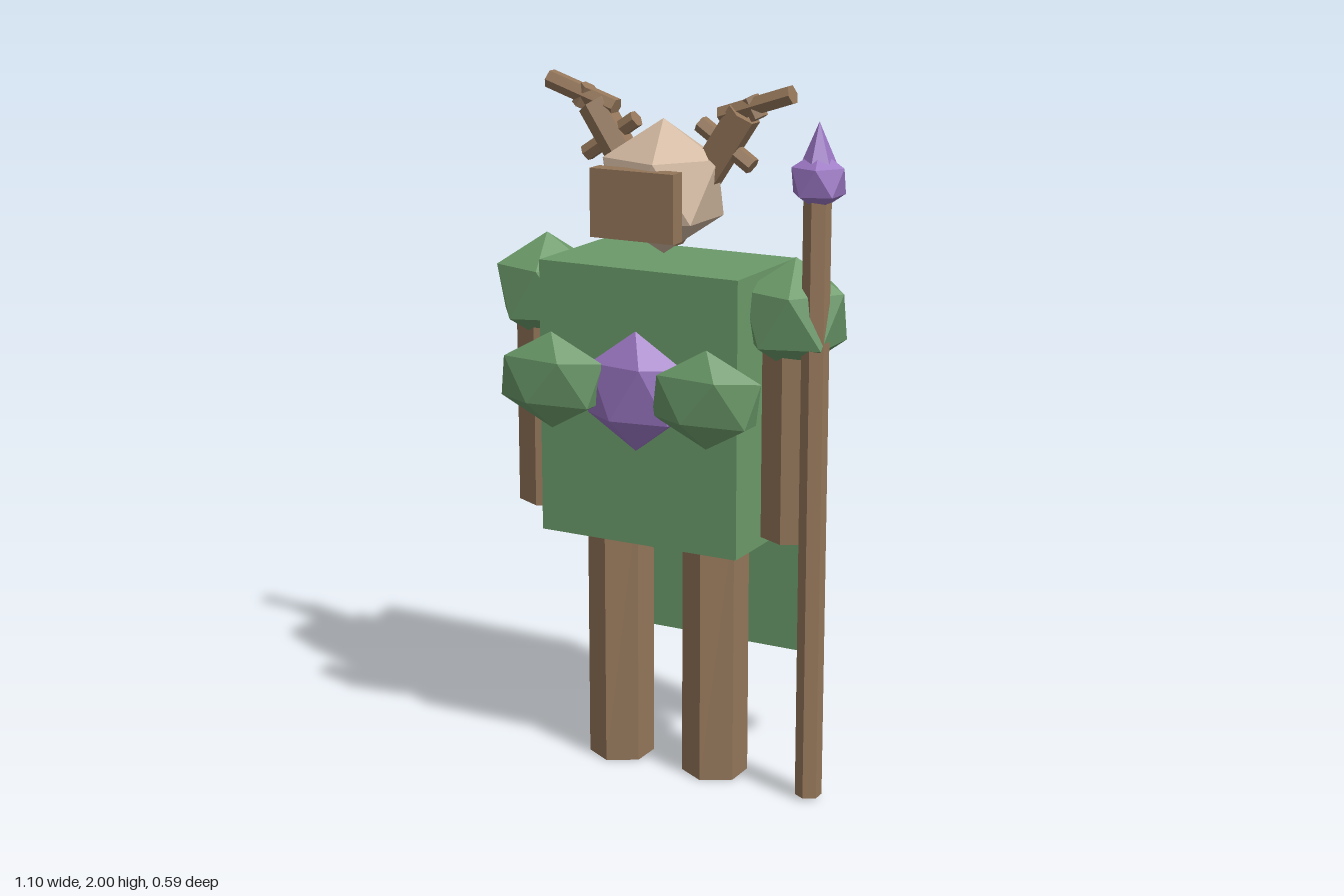
import * as THREE from 'three';

const material = (name, color) => {
  const m = new THREE.MeshStandardMaterial({ color, flatShading: true });
  m.name = name;
  return m;
};

export function createModel() {
  const green = material('leafGreen', 0x6b9a69);
  const brown = material('barkBrown', 0x94765a);
  const bone = material('paleWood', 0xd0b79f);
  const purple = material('crystalPurple', 0x9a76c2);

  const model = new THREE.Group();
  model.name = 'forestGuardian';
  const MID = -0.01; // the body sits slightly off centre, balancing the staff

  const add = (name, geometry, mat, x, y, z, parent = model) => {
    const mesh = new THREE.Mesh(geometry, mat);
    mesh.name = name;
    mesh.position.set(x, y, z);
    parent.add(mesh);
    return mesh;
  };
  const box = (name, mat, w, h, d, x, y, z) =>
    add(name, new THREE.BoxGeometry(w, h, d), mat, x, y, z);

  // Twenty-sided lump with one corner pointing straight up
  const lump = (name, mat, rx, ry, rz, x, y, z) => {
    const g = new THREE.IcosahedronGeometry(1, 0);
    g.rotateZ(-0.5536).scale(rx, ry, rz);
    return add(name, g, mat, x, y, z);
  };

  // Six-sided upright post
  const post = (name, r, bottom, top, x, z, widen = 1) => {
    const g = new THREE.CylinderGeometry(r, r, top - bottom, 6);
    g.scale(widen, 1, 1);
    return add(name, g, brown, x, (bottom + top) / 2, z);
  };

  // Six-sided stick between two points in the antler plane
  const stick = (name, r, x1, y1, x2, y2, parent) => {
    const dx = x2 - x1, dy = y2 - y1;
    const g = new THREE.CylinderGeometry(r, r, Math.hypot(dx, dy), 6);
    const m = add(name, g, brown, (x1 + x2) / 2, (y1 + y2) / 2, 0.003, parent);
    m.rotation.z = Math.atan2(-dx, dy);
  };

  // Torso and cape
  box('torso', green, 0.62, 0.785, 0.36, MID, 1.108, 0.006);
  box('cape', green, 0.72, 1.118, 0.085, MID, 0.884, -0.252);

  // Limbs, shoulders, chest leaves and antlers on both sides
  for (const [side, s] of [['left', 1], ['right', -1]]) {
    post(side + 'Leg', 0.095, 0, 0.8, MID + s * 0.155, 0.006);
    post(side + 'Arm', 0.08, 0.745, 1.4, MID + s * 0.395, 0.004, 1.15);
    lump(side + 'Shoulder', green, 0.162, 0.162, 0.162, MID + s * 0.394, 1.38, 0.003);
    lump(side + 'ChestLeaf', green, 0.185, 0.138, 0.065, MID + s * 0.243, 1.175, 0.238);

    const antler = new THREE.Group();
    antler.name = side + 'Antler';
    antler.position.x = MID;
    model.add(antler);
    stick('antlerBeam', 0.048, 0, 1.565, s * 0.235, 1.92, antler);
    stick('antlerTip', 0.028, s * 0.165, 1.91, s * 0.378, 1.98, antler);
    stick('antlerCrossTine', 0.025, s * 0.26, 1.778, s * 0.1, 1.885, antler);
    stick('antlerSmallTine', 0.025, s * 0.28, 1.91, s * 0.25, 1.965, antler);
  }

  // Chest gem
  lump('chestGem', purple, 0.17, 0.17, 0.078, MID, 1.16, 0.193);

  // Head and face mask
  lump('head', bone, 0.188, 0.188, 0.188, MID, 1.708, 0.03);
  box('faceMask', brown, 0.257, 0.19, 0.053, MID, 1.68, 0.188);

  // Staff with a pointed crystal
  post('staff', 0.038, 0.01, 1.72, 0.472, 0.06);
  lump('staffCrystal', purple, 0.083, 0.083, 0.083, 0.473, 1.765, 0.057);
  add('staffCrystalPoint', new THREE.ConeGeometry(0.056, 0.13, 6), purple, 0.473, 1.857, 0.057);

  return model;
}
